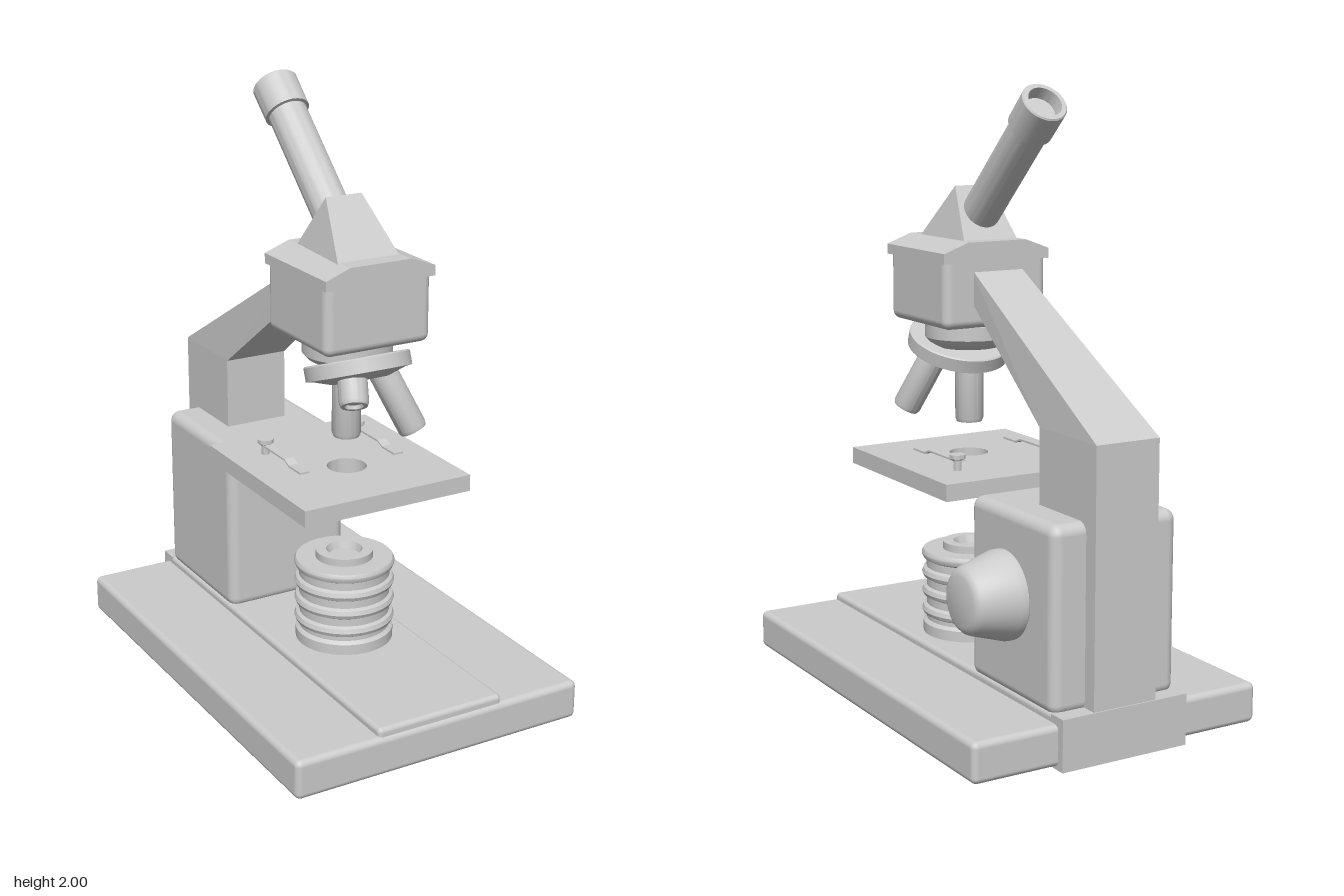
import * as THREE from 'three';
import { toCreasedNormals } from 'three/addons/utils/BufferGeometryUtils.js';
import { RoundedBoxGeometry } from 'three/addons/geometries/RoundedBoxGeometry.js';
import { ConvexGeometry } from 'three/addons/geometries/ConvexGeometry.js';

const material = new THREE.MeshStandardMaterial({ color: 0xcccccc });
const V = (x, y, z) => new THREE.Vector3(x, y, z);

export function createModel() {
  const root = new THREE.Group();

  const add = (name, geometry, parent = root) => {
    const mesh = new THREE.Mesh(geometry, material);
    mesh.name = name;
    parent.add(mesh);
    return mesh;
  };

  // Box given by its min and max corners; rounded when r > 0
  const box = (name, [x0, y0, z0], [x1, y1, z1], r = 0) => {
    const size = [x1 - x0, y1 - y0, z1 - z0];
    const geometry = r ? new RoundedBoxGeometry(...size, 4, r) : new THREE.BoxGeometry(...size);
    const mesh = add(name, geometry);
    mesh.position.set((x0 + x1) / 2, (y0 + y1) / 2, (z0 + z1) / 2);
    return mesh;
  };

  // Turned part: [radius, height] profile from bottom to top, axis along dir
  const turned = (name, profile, origin, dir = V(0, 1, 0), parent = root) => {
    const points = profile.map(([r, h]) => new THREE.Vector2(r, h));
    const mesh = add(name, toCreasedNormals(new THREE.LatheGeometry(points, 48), 0.6), parent);
    mesh.position.copy(origin);
    mesh.quaternion.setFromUnitVectors(V(0, 1, 0), dir.clone().normalize());
    return mesh;
  };

  const shapeOf = (pts) => new THREE.Shape(pts.map(([x, y]) => new THREE.Vector2(x, y)));

  // Base, raised centre plate and rear foot
  box('base', [-0.515, 0.01, -0.74], [0.515, 0.14, 0.765], 0.02);
  box('basePlate', [-0.225, 0.1, -0.75], [0.225, 0.165, 0.755], 0.015);
  box('rearFoot', [-0.225, 0, -0.765], [0.225, 0.165, -0.7]);

  // Focus housing
  box('focusHousing', [-0.222, 0.15, -0.71], [0.226, 0.735, -0.225], 0.035);

  // Arm: side profile extruded across x, narrowing towards the head
  const armGeometry = new THREE.ExtrudeGeometry(shapeOf([
    [-0.76, 0.165], [-0.45, 0.165], [-0.45, 0.976], [0.0, 1.31], [0.0, 1.415], [-0.76, 0.976],
  ]), { depth: 2, bevelEnabled: false });
  const p = armGeometry.attributes.position;
  for (let i = 0; i < p.count; i++) {
    const z = p.getX(i);
    const half = z > -0.4 ? 0.09 : 0.112;
    p.setXYZ(i, (1 - p.getZ(i)) * half, p.getY(i), z);
  }
  armGeometry.computeVertexNormals();
  add('arm', armGeometry);

  // Focus knob on its shaft
  turned('focusKnob', [
    [0, 0], [0.135, 0], [0.14, 0.005], [0.14, 0.03], [0.108, 0.135], [0.102, 0.148],
    [0.092, 0.158], [0.078, 0.163], [0, 0.163],
  ], V(0.244, 0.479, -0.476), V(1, 0, 0));
  turned('knobShaft', [[0, 0], [0.05, 0], [0.05, 0.06], [0, 0.06]], V(0.2, 0.479, -0.476), V(1, 0, 0));

  // Stage with a light hole
  const stageShape = shapeOf([[-0.295, -0.425], [0.31, -0.425], [0.31, 0.225], [-0.295, 0.225]]);
  stageShape.holes.push(new THREE.Path().absarc(0.008, -0.16, 0.065, 0, Math.PI * 2, true));
  const stage = add('stage', toCreasedNormals(new THREE.ExtrudeGeometry(stageShape,
    { depth: 0.055, bevelEnabled: false, curveSegments: 24 }), 0.6));
  stage.rotation.x = -Math.PI / 2;
  stage.position.y = 0.72;

  // Stage clips: a post and a bent spring strip on each side
  for (const x of [-0.17, 0.18]) {
    const clip = new THREE.Group();
    clip.name = 'stageClip';
    clip.position.set(x, 0.775, -0.065);
    root.add(clip);
    turned('clipPost', [
      [0, -0.01], [0.013, -0.01], [0.013, 0.03], [0.026, 0.04], [0.026, 0.053], [0, 0.053],
    ], V(0, 0, 0), V(0, 1, 0), clip);
    const strip = add('clipSpring', new THREE.ExtrudeGeometry(shapeOf([
      [0.02, 0.032], [0.02, 0.038], [-0.16, 0.038], [-0.19, 0.026], [-0.265, 0.026],
      [-0.265, 0.02], [-0.19, 0.02], [-0.16, 0.032],
    ]), { depth: 0.034, bevelEnabled: false }), clip);
    strip.rotation.y = Math.PI / 2;
    strip.position.x = -0.017;
  }

  // Ribbed lamp housing with a recessed lens
  const lamp = [[0, 0], [0.162, 0], [0.162, 0.035]];
  for (let i = 0; i < 4; i++) {
    const y = 0.045 + i * 0.064;
    lamp.push([0.15, y], [0.15, y + 0.014], [0.161, y + 0.02], [0.166, y + 0.032],
      [0.161, y + 0.046], [0.15, y + 0.052]);
  }
  lamp.splice(-2, 2, [0.166, 0.275], [0.16, 0.285]);
  lamp.push([0.095, 0.285], [0.095, 0.31], [0.06, 0.31], [0.052, 0.285], [0, 0.285]);
  turned('lampHousing', lamp, V(0.012, 0.165, 0.14));

  // Head with a sloped cap
  box('head', [-0.182, 1.22, -0.02], [0.196, 1.47, 0.355], 0.028);
  const cap = add('headCap', new THREE.ExtrudeGeometry(shapeOf([
    [-0.186, 1.435], [0.203, 1.435], [0.203, 1.468], [0.115, 1.5], [-0.1, 1.5], [-0.186, 1.468],
  ]), { depth: 0.387, bevelEnabled: false }));
  cap.position.z = -0.026;

  // Prism housing: a wedge narrowing to its ridge
  const prismPoints = [];
  for (const s of [-1, 1]) {
    prismPoints.push(V(s * 0.11, 1.495, 0.302), V(s * 0.1, 1.495, 0.026), V(s * 0.064, 1.668, 0.147));
  }
  add('prismHousing', new ConvexGeometry(prismPoints));

  // Inclined eyepiece tube, open at the top
  const tubeDir = V(0, 0.684, -0.729);
  turned('eyepieceTube', [
    [0, 0], [0.0635, 0], [0.0635, 0.45], [0.074, 0.452], [0.075, 0.565], [0.071, 0.57],
    [0.056, 0.57], [0.05, 0.53], [0, 0.53],
  ], V(-0.004, 1.947, -0.29).addScaledVector(tubeDir, -0.57), tubeDir);

  // Fixed collar under the head
  turned('collar', [
    [0, -0.08], [0.1, -0.08], [0.13, -0.062], [0.145, -0.045], [0.145, 0], [0.13, 0.02], [0, 0.02],
  ], V(0.005, 1.215, 0.165));

  // Tilted revolving nosepiece
  const turret = new THREE.Group();
  turret.name = 'nosepiece';
  turret.position.set(0.005, 1.135, 0.23);
  turret.rotation.x = -0.358;
  root.add(turret);
  turned('turretDisc', [
    [0, -0.045], [0.09, -0.045], [0.15, -0.025], [0.17, -0.022], [0.17, 0.022], [0.165, 0.026], [0, 0.026],
  ], V(0, 0, 0), V(0, 1, 0), turret);

  // Objectives splayed around the nosepiece: [angle from the back, length]
  const splay = 0.358;
  for (const [degrees, length] of [[0, 0.215], [90, 0.235], [225, 0.115]]) {
    const a = THREE.MathUtils.degToRad(degrees);
    const out = V(Math.sin(a), 0, -Math.cos(a));
    const dir = out.clone().multiplyScalar(Math.sin(splay)).add(V(0, -Math.cos(splay), 0));
    turned('objective', [
      [0, -0.02], [0.047, -0.02], [0.047, length - 0.012], [0.042, length],
      [0.03, length], [0.026, length - 0.012], [0, length - 0.012],
    ], out.multiplyScalar(0.078).add(V(0, -0.012, 0)), dir, turret);
  }

  return root;
}
